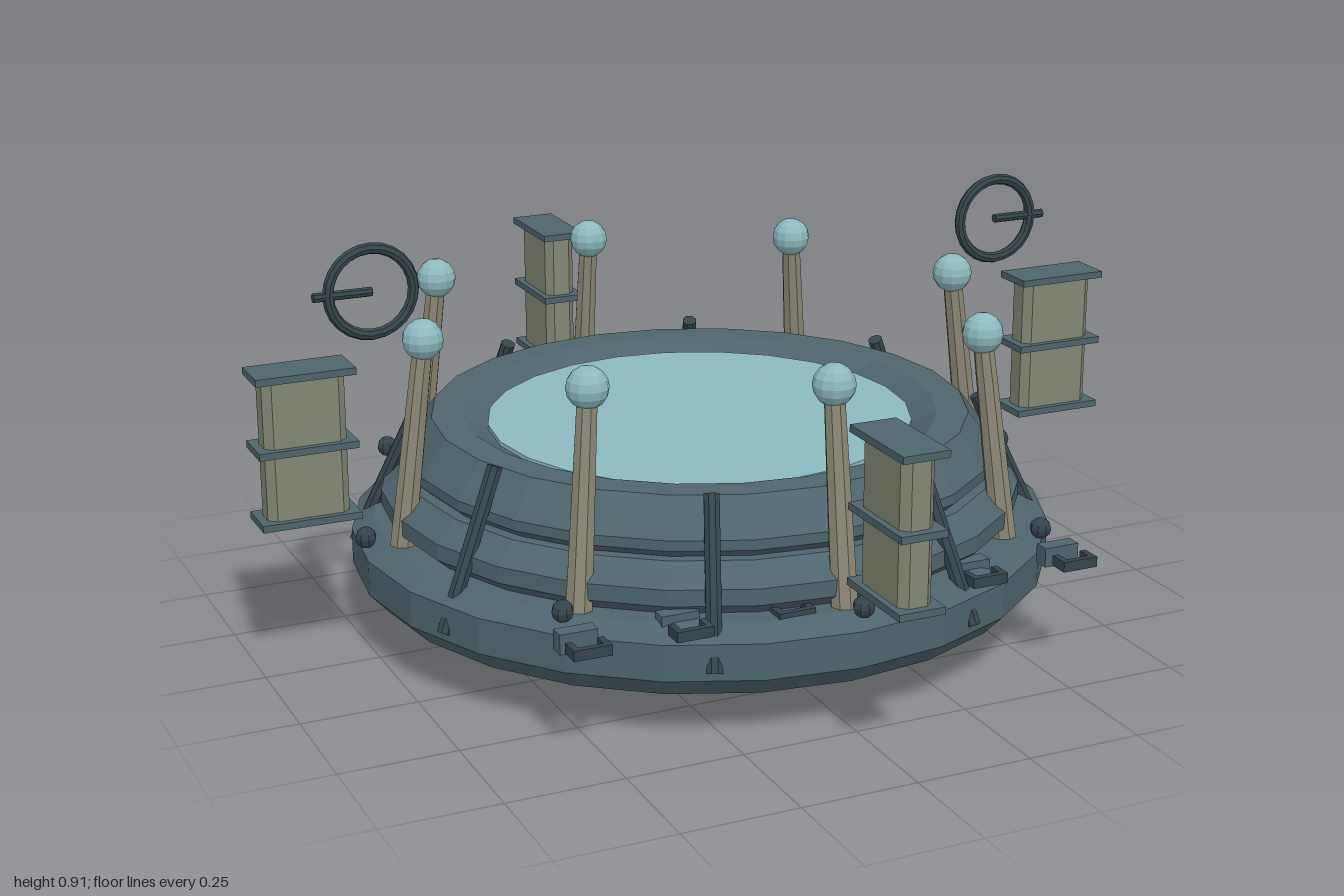
import * as THREE from 'three';
import { RoundedBoxGeometry } from 'three/addons/geometries/RoundedBoxGeometry.js';

const mat = (name, color) => {
  const m = new THREE.MeshStandardMaterial({ color });
  m.name = name;
  return m;
};

export function createModel() {
  const model = new THREE.Group();
  model.name = 'basin';
  const slate = mat('slate', 0x4e646c);
  const iron = mat('dark iron', 0x35454b);
  const water = mat('pale teal', 0x8cb9bf);
  const post = mat('weathered stone', 0x8b8775);
  const panel = mat('lantern panel', 0x818774);

  // Faceted mesh helper
  const add = (parent, name, geo, material, x = 0, y = 0, z = 0) => {
    const flat = geo.index ? geo.toNonIndexed() : geo;
    flat.computeVertexNormals();
    const mesh = new THREE.Mesh(flat, material);
    mesh.name = name;
    mesh.position.set(x, y, z);
    parent.add(mesh);
    return mesh;
  };
  const box = (w, h, d) => new THREE.BoxGeometry(w, h, d);

  // Round bar between two points
  const bar = (parent, name, a, b, rBottom, rTop, material, sides = 8) => {
    const from = new THREE.Vector3(...a);
    const dir = new THREE.Vector3(...b).sub(from);
    const mesh = add(parent, name, new THREE.CylinderGeometry(rTop, rBottom, dir.length(), sides), material);
    mesh.position.copy(from).addScaledVector(dir, 0.5);
    mesh.quaternion.setFromUnitVectors(new THREE.Vector3(0, 1, 0), dir.normalize());
  };

  // Foot slab
  add(model, 'foot', new RoundedBoxGeometry(0.85, 0.09, 0.71, 3, 0.035), slate, 0, 0.045, 0);

  // Three stacked rings with bevelled sections (radius, height), outside first
  const rings = {
    baseRing: [[0.65, 0.1], [0.725, 0.1], [0.767, 0.145], [0.767, 0.222], [0.72, 0.25], [0.65, 0.25], [0.615, 0.215], [0.615, 0.135]],
    middleRing: [[0.585, 0.21], [0.66, 0.24], [0.7, 0.275], [0.7, 0.31], [0.65, 0.352], [0.585, 0.352], [0.545, 0.31], [0.545, 0.25]],
    topRing: [[0.52, 0.31], [0.6, 0.33], [0.645, 0.37], [0.645, 0.392], [0.587, 0.467], [0.52, 0.467], [0.455, 0.43], [0.455, 0.36]],
  };
  for (const [name, pts] of Object.entries(rings)) {
    const profile = [...pts, pts[0]].map(([r, y]) => new THREE.Vector2(r, y));
    add(model, name, new THREE.LatheGeometry(profile, 24), slate);
  }

  // Water surface
  add(model, 'water', new THREE.CylinderGeometry(0.465, 0.465, 0.02, 24), water, 0, 0.435, 0);

  // Posts with globes, rim studs and leaning struts, eight of each
  for (let i = 0; i < 8; i++) {
    const sector = new THREE.Group();
    sector.name = 'sector' + (i + 1);
    sector.rotation.y = (i * Math.PI) / 4;
    bar(sector, 'post', [0.69, 0.24, 0], [0.632, 0.67, 0], 0.029, 0.022, post);
    add(sector, 'globe', new THREE.SphereGeometry(0.044, 12, 8), water, 0.63, 0.693, 0);
    add(sector, 'stud', new THREE.SphereGeometry(0.023, 8, 6), iron, 0.77, 0.277, 0);
    const c = Math.cos(Math.PI / 8), s = Math.sin(Math.PI / 8);
    bar(sector, 'strut', [0.76 * c, 0.16, 0.76 * s], [0.61 * c, 0.48, 0.61 * s], 0.017, 0.017, iron);
    model.add(sector);
  }

  // Lanterns on the four sides
  const section = new THREE.Shape();
  [[-0.07, -0.036], [0.07, -0.036], [0.087, -0.02], [0.087, 0.02], [0.07, 0.036], [-0.07, 0.036], [-0.087, 0.02], [-0.087, -0.02]]
    .forEach(([x, y], i) => (i ? section.lineTo(x, y) : section.moveTo(x, y)));
  for (let i = 0; i < 4; i++) {
    const lantern = new THREE.Group();
    lantern.name = 'lantern' + (i + 1);
    lantern.rotation.y = (i * Math.PI) / 2;
    const core = new THREE.ExtrudeGeometry(section, { depth: 0.31, bevelEnabled: false });
    core.rotateX(-Math.PI / 2);
    add(lantern, 'lanternPanel', core, panel, 0.895, 0.347, 0);
    for (const y of [0.347, 0.502, 0.659]) {
      add(lantern, 'lanternShelf', box(0.21, 0.015, 0.1), slate, 0.895, y, 0);
    }
    model.add(lantern);
  }

  // Upright hoops with a side handle
  for (const side of [-1, 1]) {
    const hoop = new THREE.Group();
    hoop.name = side > 0 ? 'leftHoop' : 'rightHoop';
    add(hoop, 'hoopRing', new THREE.TorusGeometry(0.091, 0.012, 8, 24), iron, side * 0.737, 0.808, 0);
    bar(hoop, 'hoopHandle', [side * 0.735, 0.808, 0], [side * 0.86, 0.808, 0], 0.01, 0.01, iron);
    model.add(hoop);
  }

  // Row of clasps along the front: a block and a U-shaped catch
  for (const x of [-0.545, -0.33, -0.11, 0.11, 0.33, 0.545]) {
    const clasp = new THREE.Group();
    clasp.name = 'clasp';
    clasp.position.set(x, 0.245, 0);
    add(clasp, 'claspBlock', box(0.08, 0.042, 0.035), slate, 0, 0, 0.612);
    add(clasp, 'catchBar', box(0.08, 0.022, 0.014), iron, 0, 0.005, 0.695);
    for (const s of [-1, 1]) {
      add(clasp, 'catchProng', box(0.014, 0.022, 0.04), iron, s * 0.033, 0.005, 0.677);
    }
    model.add(clasp);
  }

  return model;
}
